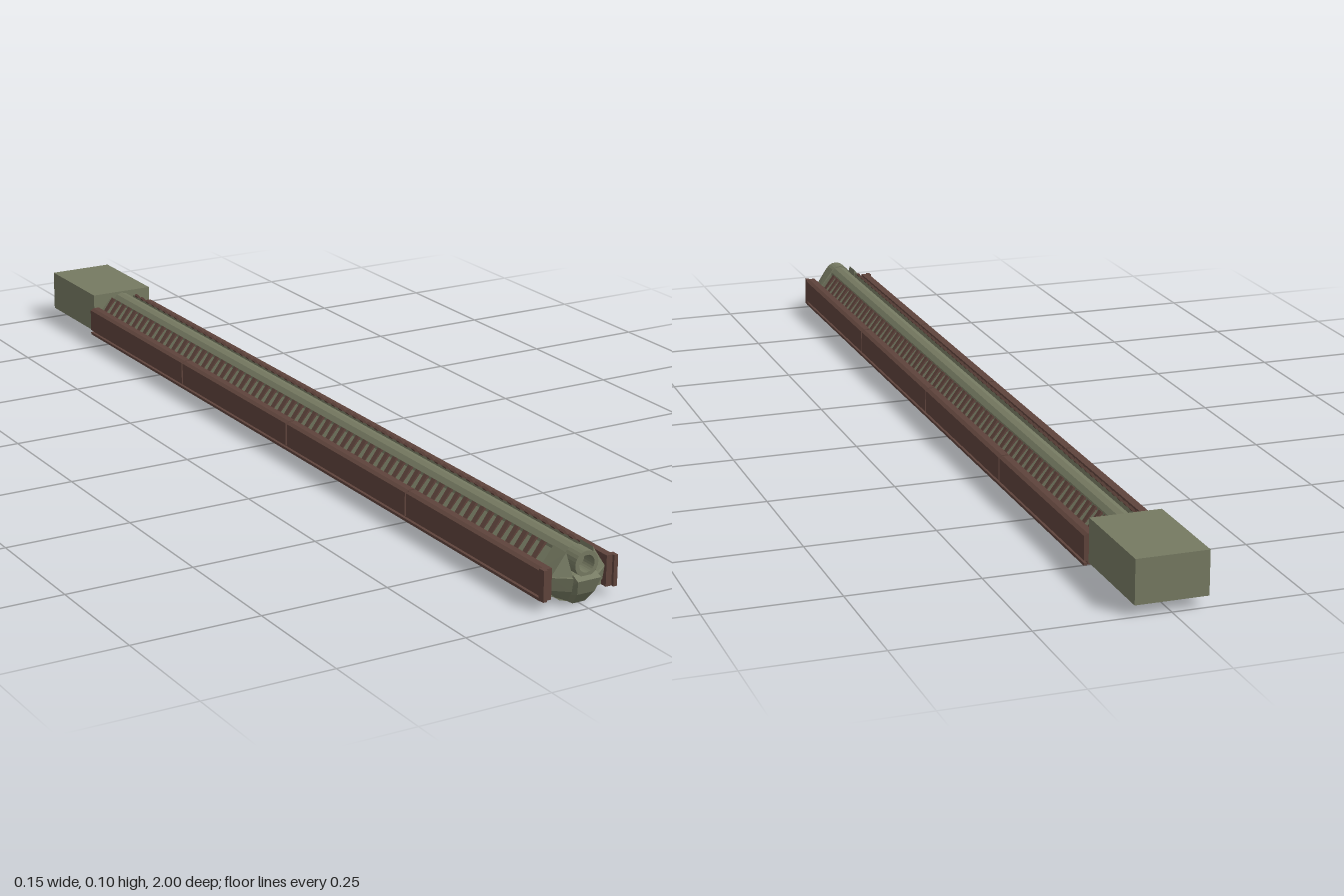
import * as THREE from 'three';
import { ConvexGeometry } from 'three/addons/geometries/ConvexGeometry.js';

const green = new THREE.MeshStandardMaterial({ color: 0x757961 });
green.name = 'olive metal';
const brown = new THREE.MeshStandardMaterial({ color: 0x5e433b });
brown.name = 'rust brown';

const BACK = -0.79;

function add(parent, name, geometry, material) {
  const mesh = new THREE.Mesh(geometry, material);
  mesh.name = name;
  parent.add(mesh);
  return mesh;
}

// Extrude an x-y outline from z0 to z1
function prism(points, z0, z1) {
  const shape = new THREE.Shape(points.map(p => new THREE.Vector2(p[0], p[1])));
  const g = new THREE.ExtrudeGeometry(shape, { depth: z1 - z0, bevelEnabled: false });
  return g.translate(0, 0, z0);
}

const mirror = (points, s) => points.map(p => [p[0] * s, ...p.slice(1)]);
const both = points => [...points, ...mirror(points, -1).reverse()];
const hull = points => new ConvexGeometry(points.map(p => new THREE.Vector3(...p)));

export function createModel() {
  const model = new THREE.Group();
  model.name = 'longBeam';

  // Rear block
  add(model, 'rearBlock', new THREE.BoxGeometry(0.136, 0.083, 0.21).translate(0, 0.0625, -0.895), green);

  // Keel body with a sloped ridge on each side of a central channel
  const half = [[0.014, 0], [0.03, 0.005], [0.045, 0.015], [0.058, 0.017],
    [0.058, 0.058], [0.029, 0.091], [0.024, 0.06]];
  add(model, 'keelBody', prism(both(half), BACK, 0.955), green);

  // Central pipe with an open, recessed muzzle
  const pipe = new THREE.CylinderGeometry(0.022, 0.022, 1.75, 12, 1).rotateX(Math.PI / 2).translate(0, 0.079, 0.085);
  add(model, 'centralPipe', pipe.toNonIndexed(), green).geometry.computeVertexNormals();
  const ring = new THREE.Shape().absarc(0, 0.079, 0.024, 0, Math.PI * 2);
  ring.holes.push(new THREE.Path().absarc(0, 0.079, 0.016, 0, Math.PI * 2, true));
  const muzzle = new THREE.ExtrudeGeometry(ring, { depth: 0.035, bevelEnabled: false, curveSegments: 12 });
  add(model, 'pipeMuzzle', muzzle.translate(0, 0, 0.955), green);

  // Narrow faceted nose under the muzzle
  add(model, 'nose', hull(both([
    [0.014, 0, 0.95], [0.028, 0.012, 0.95], [0.028, 0.06, 0.95],
    [0.013, 0.001, 0.97], [0.018, 0.025, 0.99], [0.024, 0.053, 1.0], [0.024, 0.06, 0.985],
  ])), green);

  for (const s of [-1, 1]) {
    const side = new THREE.Group();
    side.name = s > 0 ? 'leftSide' : 'rightSide';
    model.add(side);

    // Faceted cheek and pointed fin beside the nose
    add(side, 'cheek', hull(mirror([
      [0.02, 0.004, 0.94], [0.045, 0.015, 0.94], [0.058, 0.017, 0.94], [0.058, 0.058, 0.94],
      [0.02, 0.06, 0.94], [0.022, 0.007, 0.968], [0.056, 0.03, 0.96], [0.056, 0.055, 0.965],
      [0.026, 0.03, 0.985], [0.026, 0.056, 0.99],
    ], s)), green);
    add(side, 'fin', hull(mirror([
      [0.024, 0.055, 0.93], [0.058, 0.058, 0.93], [0.028, 0.098, 0.93],
      [0.024, 0.055, 0.985], [0.056, 0.056, 0.965], [0.028, 0.097, 0.968],
    ], s)), green);

    // Row of slanted ribs along the ridge
    const rib = prism(mirror([[0.057, 0.06], [0.03, 0.097], [0.026, 0.094], [0.05, 0.055]], s), 0, 0.012);
    const count = 63;
    for (let i = 0; i < count; i++) {
      add(side, 'rib', rib, brown).position.z = BACK + 0.012 + i * 0.027;
    }

    // Four armour panels with stepped lips and narrow joints
    const profile = mirror([[0.057, 0.017], [0.07, 0.017], [0.07, 0.023], [0.077, 0.026],
      [0.077, 0.071], [0.07, 0.075], [0.057, 0.075]], s);
    const length = 0.436;
    for (let i = 0; i < 4; i++) {
      const z = BACK + i * (length + 0.005);
      add(side, 'sidePanel', prism(profile, z, z + length), brown);
    }
    // Continuous rail behind the panels
    add(side, 'sideRail', new THREE.BoxGeometry(0.012, 0.054, 1.755).translate(s * 0.064, 0.046, 0.0875), brown);
    // Bottom lip that runs to the front
    add(side, 'lowerLip', new THREE.BoxGeometry(0.006, 0.005, 1.755).translate(s * 0.074, 0.0185, 0.0875), brown);
    // Outer end plate
    add(side, 'endPlate', new THREE.BoxGeometry(0.008, 0.058, 0.015).translate(s * 0.073, 0.046, 0.967), brown);
  }
  return model;
}
